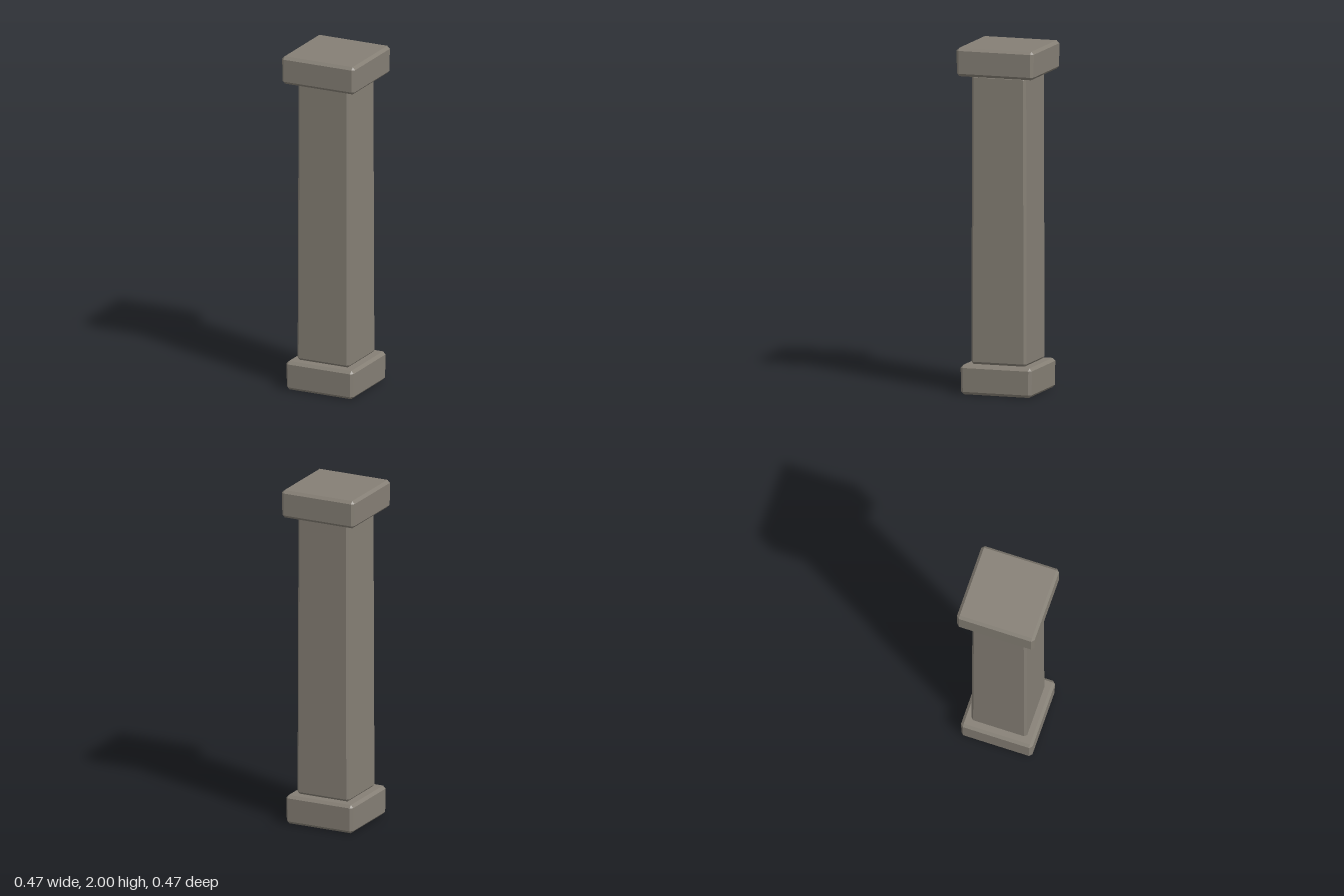
import * as THREE from 'three';
import { ConvexGeometry } from 'three/addons/geometries/ConvexGeometry.js';

const stone = new THREE.MeshStandardMaterial({ color: 0x857f75, flatShading: true });

// Square block with chamfered edges, from y0 to y1, with half widths at bottom and top
function chamferedBlock(name, y0, y1, bottomHalf, topHalf, chamfer) {
  const points = [];
  for (const sx of [-1, 1]) for (const sz of [-1, 1]) for (const top of [false, true]) {
    const half = top ? topHalf : bottomHalf;
    const inner = half - chamfer;
    const y = top ? y1 : y0;
    const yInner = top ? y1 - chamfer : y0 + chamfer;
    points.push(
      new THREE.Vector3(sx * inner, y, sz * inner),
      new THREE.Vector3(sx * half, yInner, sz * inner),
      new THREE.Vector3(sx * inner, yInner, sz * half),
    );
  }
  const mesh = new THREE.Mesh(new ConvexGeometry(points), stone);
  mesh.name = name;
  return mesh;
}

export function createModel() {
  const pillar = new THREE.Group();
  pillar.name = 'pillar';
  pillar.add(
    chamferedBlock('base', 0, 0.17, 0.213, 0.215, 0.016),
    chamferedBlock('shaft', 0.171, 1.838, 0.167, 0.163, 0.014),
    chamferedBlock('capital', 1.836, 2, 0.232, 0.233, 0.016),
  );
  return pillar;
}
